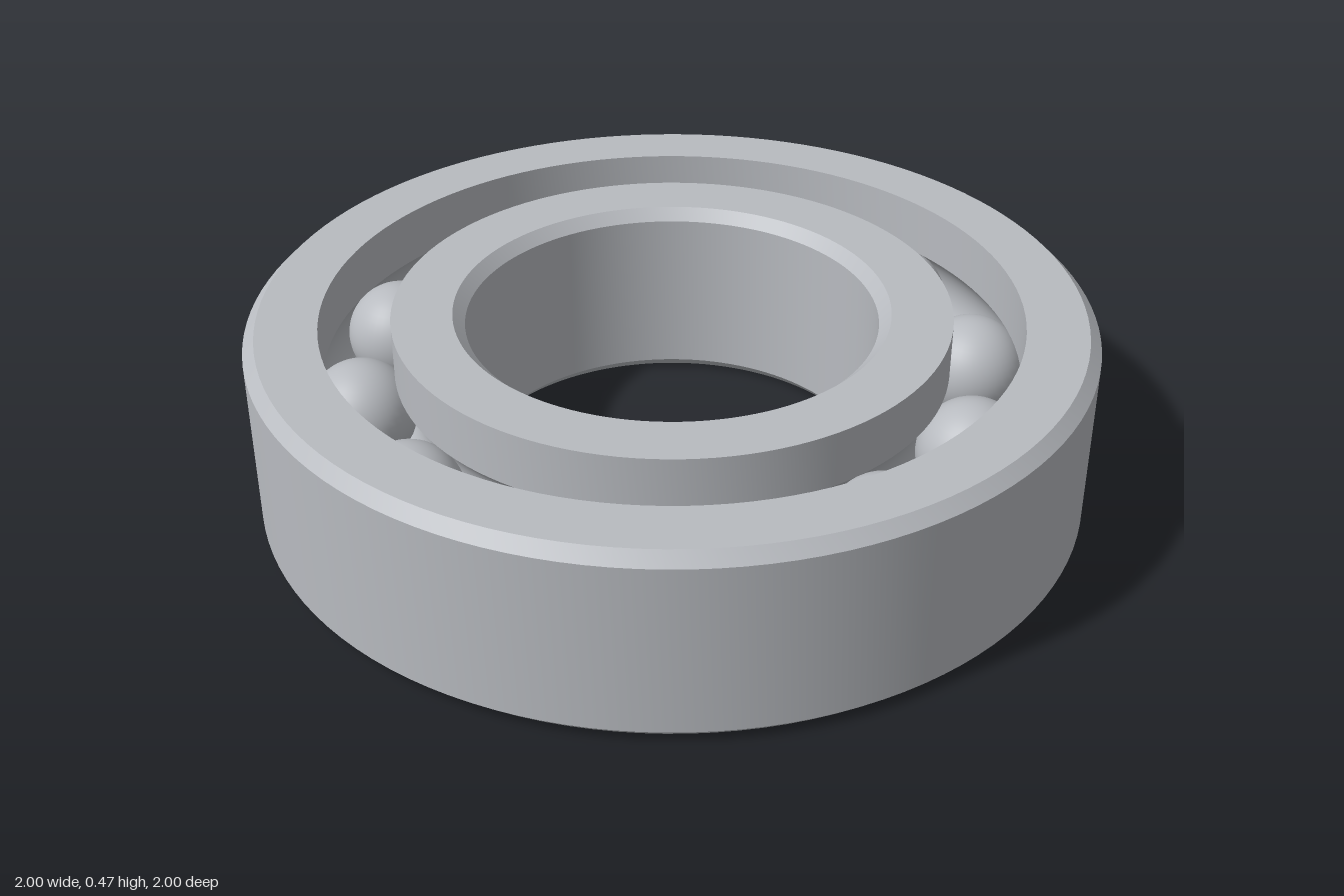
import * as THREE from 'three';
import { toCreasedNormals } from 'three/addons/utils/BufferGeometryUtils.js';

const H = 0.47, MID = H / 2, CH = 0.028;   // ring height, half height, edge chamfer
const PITCH = 0.743, BALL = 0.13;          // ball circle radius, ball radius
const BALL_COUNT = 12;

// Groove arc centred on the ball circle, meeting the ring wall at radius `wall`
function groove(wall, fromAngle, toAngle, steps = 14) {
  const pts = [];
  for (let i = 0; i <= steps; i++) {
    const a = fromAngle + (toAngle - fromAngle) * (i / steps);
    pts.push(new THREE.Vector2(PITCH + BALL * Math.cos(a), MID + BALL * Math.sin(a)));
  }
  return pts;
}

// Closed profile, running counter-clockwise so faces point outward
function ring(name, profile, material) {
  const geo = new THREE.LatheGeometry([...profile, profile[0].clone()], 120);
  const mesh = new THREE.Mesh(toCreasedNormals(geo, 0.5), material);
  mesh.name = name;
  return mesh;
}

export function createModel() {
  const steel = new THREE.MeshStandardMaterial({ color: 0xb8bbc0 });
  steel.name = 'steel';
  const group = new THREE.Group();
  group.name = 'ballBearing';
  const v = (r, y) => new THREE.Vector2(r, y);

  // Outer ring: chamfered outside, raceway groove inside
  const outerWall = 0.827;
  const ao = Math.acos((outerWall - PITCH) / BALL);
  group.add(ring('outerRing', [
    v(outerWall, 0), v(1 - CH, 0), v(1, CH), v(1, H - CH), v(1 - CH, H), v(outerWall, H),
    ...groove(outerWall, ao, -ao),
  ], steel));

  // Inner ring: chamfered bore, raceway groove outside
  const innerWall = 0.66, bore = 0.488;
  const ai = Math.acos((innerWall - PITCH) / BALL);
  group.add(ring('innerRing', [
    v(bore + CH, 0), v(innerWall, 0),
    ...groove(innerWall, 2 * Math.PI - ai, ai),
    v(innerWall, H), v(bore + CH, H), v(bore, H - CH), v(bore, CH),
  ], steel));

  // Balls evenly spaced between the rings
  const balls = new THREE.Group();
  balls.name = 'balls';
  const ballGeo = new THREE.SphereGeometry(BALL, 40, 24);
  for (let i = 0; i < BALL_COUNT; i++) {
    const a = (i / BALL_COUNT) * Math.PI * 2;
    const ball = new THREE.Mesh(ballGeo, steel);
    ball.name = 'ball' + (i + 1);
    ball.position.set(PITCH * Math.cos(a), MID, PITCH * Math.sin(a));
    balls.add(ball);
  }
  group.add(balls);
  return group;
}
